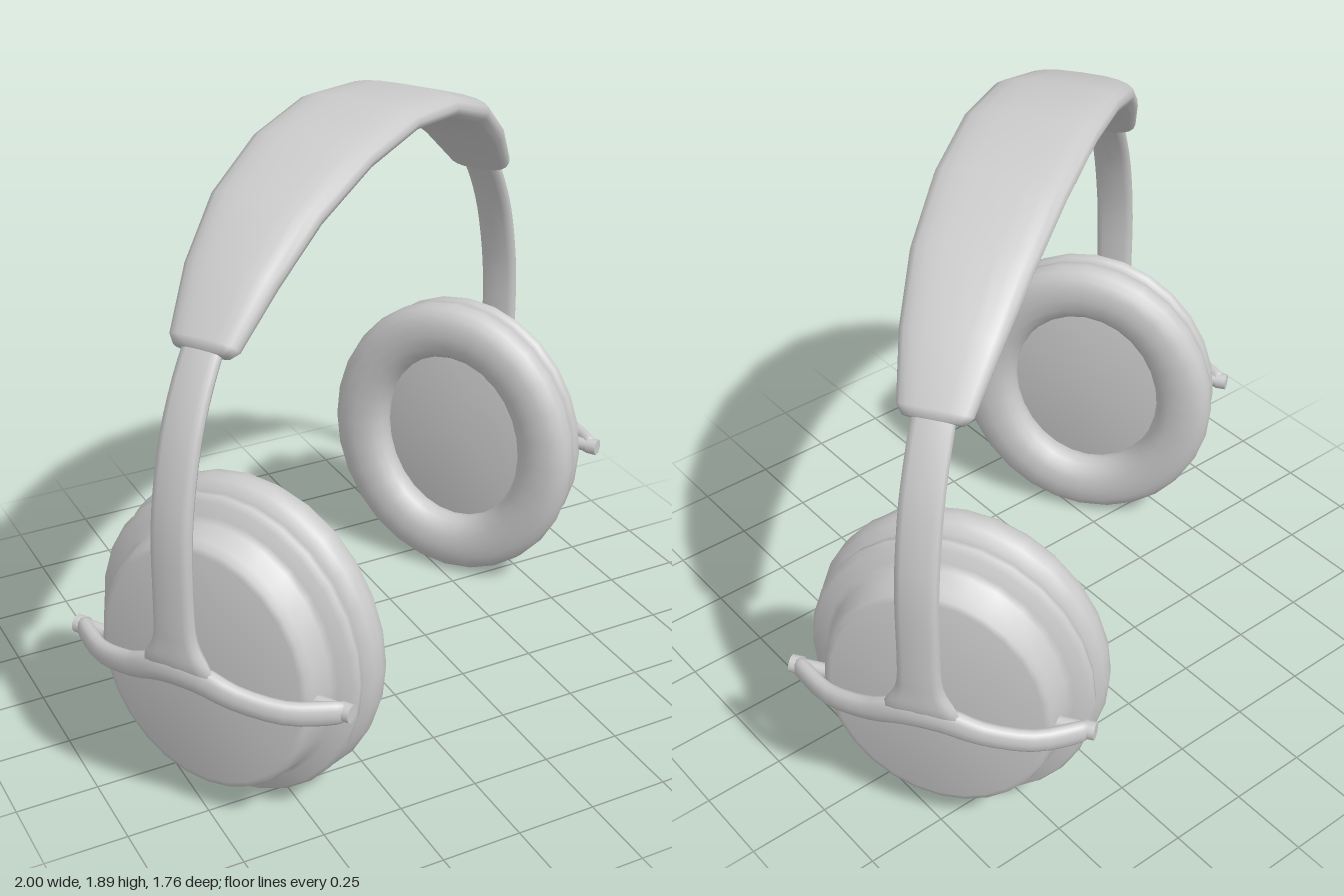
import * as THREE from 'three';
import { toCreasedNormals } from 'three/addons/utils/BufferGeometryUtils.js';

const material = new THREE.MeshStandardMaterial({ color: 0xcccccc });

function part(name, geometry) {
  const mesh = new THREE.Mesh(geometry, material);
  mesh.name = name;
  return mesh;
}

// Sweep a rounded section along stations [x, y, z, halfWidth, halfThickness].
// The width follows `side`; `power` below 1 makes the section boxier.
function sweep(stations, side, steps, sides, power) {
  const path = new THREE.CatmullRomCurve3(stations.map(s => new THREE.Vector3(s[0], s[1], s[2])), false, 'catmullrom');
  const size = new THREE.CatmullRomCurve3(stations.map(s => new THREE.Vector3(s[3], s[4], 0)), false, 'catmullrom');
  const count = (stations.length - 1) * steps;
  const round = v => Math.sign(v) * Math.abs(v) ** power;
  const positions = [], index = [];
  for (let i = 0; i <= count; i++) {
    const p = path.getPoint(i / count), s = size.getPoint(i / count), t = path.getTangent(i / count);
    const u = side.clone().addScaledVector(t, -side.dot(t)).normalize();
    const n = t.clone().cross(u);
    for (let j = 0; j < sides; j++) {
      const a = j / sides * Math.PI * 2;
      const q = p.clone()
        .addScaledVector(u, s.x * round(Math.cos(a)))
        .addScaledVector(n, s.y * round(Math.sin(a)));
      positions.push(q.x, q.y, q.z);
      if (i === count) continue;
      const k = (j + 1) % sides, r = i * sides;
      index.push(r + j, r + k, r + sides + j, r + k, r + sides + k, r + sides + j);
    }
  }
  const g = new THREE.BufferGeometry();
  g.setAttribute('position', new THREE.Float32BufferAttribute(positions, 3));
  g.setIndex(index);
  g.computeVertexNormals();
  return g;
}

// Oval turned part: profile of [radius, x], narrowed front to back by a constant inset
function oval(profile, crease) {
  const g = new THREE.LatheGeometry(profile.map(p => new THREE.Vector2(p[0], p[1])), 28);
  g.rotateZ(-Math.PI / 2);
  const pos = g.attributes.position;
  for (let i = 0; i < pos.count; i++) {
    const r = Math.hypot(pos.getY(i), pos.getZ(i));
    if (r > 0.06) pos.setZ(i, pos.getZ(i) * (r - 0.055) / r);
    pos.setY(i, pos.getY(i) + 0.5);
  }
  return toCreasedNormals(g, crease);
}

// Ear cup, yoke and strap of one side, built at +x
function createSide() {
  const side = new THREE.Group();

  // Soft cushion ring
  const cushion = [];
  for (let i = 0; i <= 16; i++) {
    const a = -Math.PI / 2 + i / 16 * Math.PI * 2;
    const c = Math.cos(a), s = Math.sin(a);
    cushion.push([0.405 + 0.095 * Math.sign(c) * Math.abs(c) ** 0.85,
      0.67 + 0.072 * Math.sign(s) * Math.abs(s) ** 0.85]);
  }
  side.add(part('earCushion', oval(cushion, 1.2)));

  // Inner plate, rim and back shell
  side.add(part('earCup', oval([
    [0, 0.715], [0.4, 0.715], [0.462, 0.737], [0.48, 0.75], [0.484, 0.772], [0.47, 0.79],
    [0.43, 0.797], [0.413, 0.812], [0.403, 0.88], [0.393, 0.902], [0.375, 0.908], [0, 0.908],
  ], 0.9)));

  // Curved fork holding the cup
  const half = [
    [0.862, 0.485, 0.44, 0.002, 0.002],
    [0.868, 0.485, 0.432, 0.028, 0.02],
    [0.895, 0.485, 0.4, 0.036, 0.024],
    [0.96, 0.492, 0.3, 0.036, 0.024],
    [1.0, 0.52, 0.17, 0.038, 0.024],
    [1.018, 0.56, 0.06, 0.045, 0.025],
  ];
  const fork = [...half, ...half.map(s => [s[0], s[1], -s[2], s[3], s[4]]).reverse()];
  side.add(part('yokeFork', sweep(fork, new THREE.Vector3(0, 1, 0), 3, 12, 0.9)));

  // Pivot pins with small heads at the fork tips
  for (const s of [-1, 1]) {
    const pin = new THREE.CylinderGeometry(0.022, 0.022, 0.11, 12);
    pin.rotateX(Math.PI / 2).translate(0.868, 0.485, s * 0.385);
    const head = new THREE.CylinderGeometry(0.027, 0.027, 0.035, 12);
    head.rotateX(Math.PI / 2).translate(0.868, 0.485, s * 0.44);
    side.add(part('pivotPin', pin), part('pivotHead', head));
  }

  // Flat strap rising from the fork into the headband
  side.add(part('strap', sweep([
    [1.018, 0.55, 0, 0.12, 0.012],
    [1.02, 0.6, 0, 0.105, 0.025],
    [1.022, 0.66, 0, 0.073, 0.025],
    [1.024, 0.75, 0, 0.063, 0.024],
    [1.015, 1.0, 0, 0.063, 0.024],
    [0.97, 1.2, 0, 0.063, 0.024],
    [0.91, 1.34, 0, 0.062, 0.024],
    [0.83, 1.46, 0, 0.06, 0.024],
    [0.75, 1.54, 0, 0.05, 0.02],
  ], new THREE.Vector3(0, 0, 1), 3, 12, 0.7)));
  return side;
}

export function createModel() {
  const model = new THREE.Group();
  model.name = 'headphones';

  // Padded headband, widest at the crown
  const half = [
    [0.845, 1.447, 0, 0.002, 0.002],
    [0.842, 1.45, 0, 0.085, 0.028],
    [0.825, 1.467, 0, 0.105, 0.04],
    [0.69, 1.605, 0, 0.142, 0.047],
    [0.51, 1.733, 0, 0.172, 0.047],
    [0.265, 1.82, 0, 0.19, 0.045],
  ];
  const band = [...half, [0, 1.852, 0, 0.196, 0.043],
    ...half.map(s => [-s[0], ...s.slice(1)]).reverse()];
  model.add(part('headband', sweep(band, new THREE.Vector3(0, 0, 1), 1, 20, 0.75)));

  // The two sides are half a turn apart
  ['left', 'right'].forEach((name, i) => {
    const side = createSide();
    side.name = name + 'Side';
    side.rotation.y = i * Math.PI;
    model.add(side);
  });

  model.rotation.y = 0.59;
  const root = new THREE.Group();
  root.add(model);
  return root;
}
